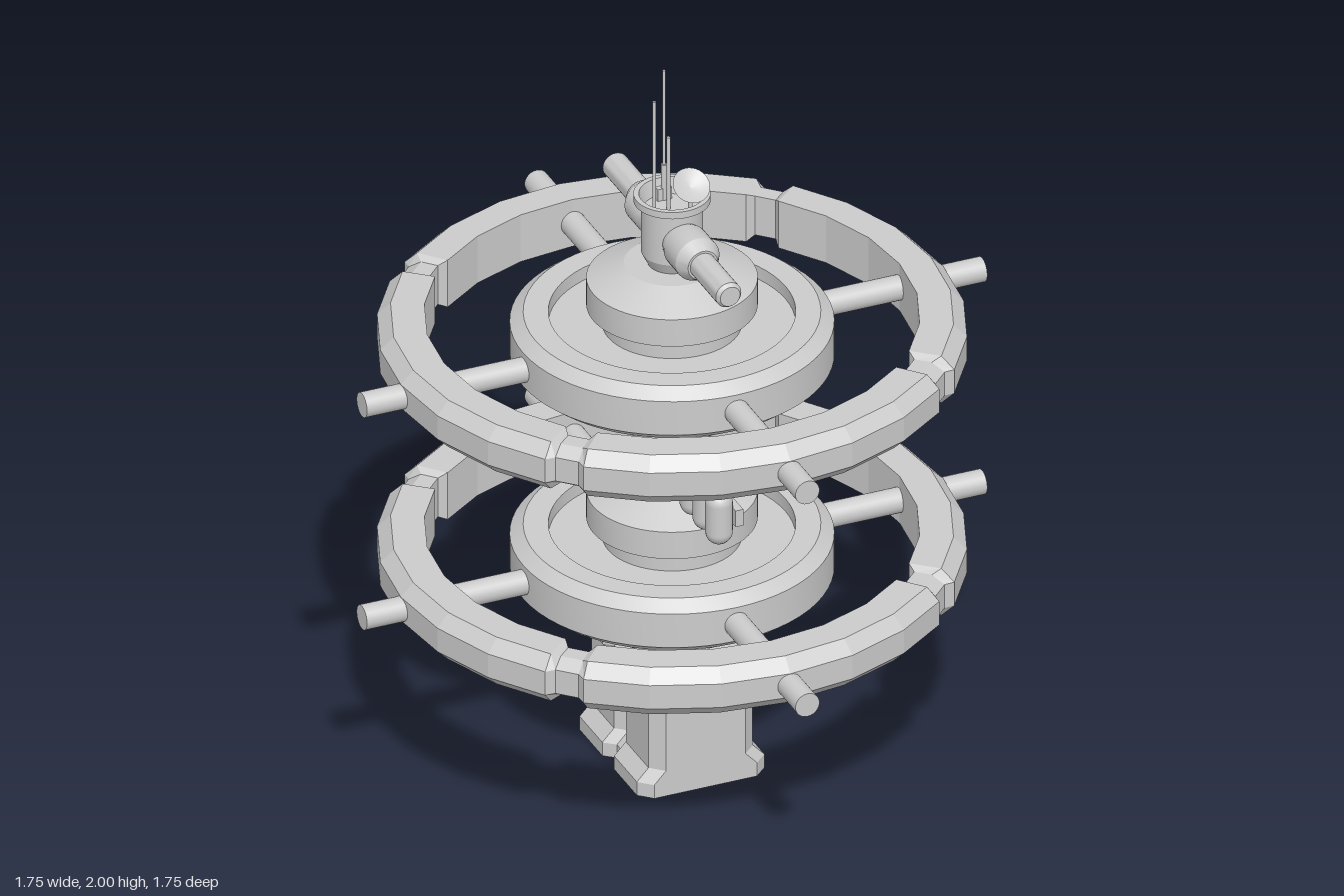
import * as THREE from 'three';
import { toCreasedNormals } from 'three/addons/utils/BufferGeometryUtils.js';

const grey = new THREE.MeshStandardMaterial({ color: 0xcccccc });
const flat = new THREE.MeshStandardMaterial({ color: 0xcccccc, flatShading: true });
const thin = new THREE.MeshStandardMaterial({ color: 0xcccccc, side: THREE.DoubleSide });
const RAD = Math.PI / 180;

function add(parent, name, geometry, x = 0, y = 0, z = 0, material = grey) {
  const mesh = new THREE.Mesh(geometry, material);
  mesh.name = name;
  mesh.position.set(x, y, z);
  parent.add(mesh);
  return mesh;
}

// Solid of revolution about y from [radius, height] pairs, with sharp edges kept
function turned(profile, segments = 48) {
  const points = profile.map(([r, y]) => new THREE.Vector2(r, y));
  return toCreasedNormals(new THREE.LatheGeometry(points, segments), 0.4);
}

// Skin joining equal cross-section loops of [x, y, z]
function loft(sections, closed) {
  const n = sections[0].length, index = [];
  const count = closed ? sections.length : sections.length - 1;
  for (let i = 0; i < count; i++) {
    const k = (i + 1) % sections.length;
    for (let j = 0; j < n; j++) {
      const m = (j + 1) % n;
      const a = i * n + j, b = i * n + m, c = k * n + m, d = k * n + j;
      index.push(a, b, c, a, c, d);
    }
  }
  const geometry = new THREE.BufferGeometry();
  geometry.setAttribute('position', new THREE.Float32BufferAttribute(sections.flat(2), 3));
  geometry.setIndex(index);
  const result = geometry.toNonIndexed();
  result.computeVertexNormals();
  return result;
}

// Faceted ring in four segments, pinched at the joints on the diagonals
function ringGeometry() {
  const sections = [];
  for (let q = 0; q < 4; q++) {
    for (const a of [-42.5, -41, -28, -14, 0, 14, 28, 41, 42.5, 47.5]) {
      const d = a === -42.5 || a >= 42 ? 0.02 : 0;
      if (a === 47.5) continue; // shared with the next segment's start
      const t = (q * 90 + a) * RAD, h = 0.07 - d * 0.6;
      const profile = [[0.642 + d, -h], [0.73 - d, -h], [0.765 - d, -0.035],
        [0.765 - d, 0.035], [0.73 - d, h], [0.642 + d, h]];
      sections.push(profile.map(([r, y]) => [r * Math.cos(t), y, r * Math.sin(t)]));
    }
  }
  return loft(sections, true);
}

// Outline of the base at half-width w: bevelled corners and a groove on each side
function baseOutline(w) {
  const side = [[w - 0.035, 0.218], [w, 0.185], [w, 0.038], [w - 0.03, 0.012],
    [w - 0.03, -0.012], [w, -0.038], [w, -0.185], [w - 0.035, -0.218]];
  return [...side, ...side.map(([x, z]) => [-x, -z])];
}

function addBase(parent) {
  const base = new THREE.Group();
  base.name = 'base';
  parent.add(base);
  const levels = [[0, 0.18], [0.04, 0.18], [0.075, 0.147], [0.3, 0.147], [0.335, 0.18], [0.37, 0.18]];
  const sections = levels.map(([y, w]) => baseOutline(w).map(([x, z]) => [x, y, z]));
  add(base, 'baseWalls', loft(sections, false), 0, 0, 0, flat);
  const cap = new THREE.ShapeGeometry(
    new THREE.Shape(baseOutline(0.18).map(([x, z]) => new THREE.Vector2(x, z))));
  add(base, 'baseBottom', cap.clone().rotateX(Math.PI / 2));
  add(base, 'baseTop', cap.clone().rotateX(-Math.PI / 2), 0, 0.37, 0);
}

// One habitat deck: hub drums, recessed disc, outer ring and spokes
function addDeck(parent, y) {
  const deck = new THREE.Group();
  deck.name = 'deck';
  deck.position.y = y;
  parent.add(deck);
  const half = [[0, -0.225], [0.125, -0.225], [0.222, -0.18], [0.222, -0.1], [0.18, -0.1],
    [0.18, -0.04], [0.32, -0.04], [0.32, -0.078], [0.385, -0.078], [0.42, -0.05]];
  const mirrored = half.map(([r, h]) => [r, -h]).reverse();
  add(deck, 'hubAndDisc', turned([...half, ...mirrored], 64));
  add(deck, 'outerRing', ringGeometry(), 0, 0, 0, flat);
  for (let i = 0; i < 4; i++) {
    const spoke = new THREE.CylinderGeometry(0.034, 0.034, 0.475, 24);
    spoke.rotateX(Math.PI / 2).translate(0, 0, 0.6375).rotateY(i * Math.PI / 2);
    add(deck, 'spoke', spoke);
  }
}

// Arm carrying three upright tanks
function addTankArm(parent, angle) {
  const arm = new THREE.Group();
  arm.name = 'tankArm';
  arm.position.y = 0.91;
  arm.rotation.y = angle * RAD;
  parent.add(arm);
  add(arm, 'armBeam', new THREE.BoxGeometry(0.022, 0.048, 0.34), 0.007, 0, 0.25);
  for (const z of [0.225, 0.308, 0.39]) {
    add(arm, 'tank', new THREE.CapsuleGeometry(0.036, 0.084, 8, 20), -0.038, 0, z);
  }
}

// Docking head with two ports, masts and a dish
function addHead(parent) {
  const head = new THREE.Group();
  head.name = 'head';
  parent.add(head);
  add(head, 'headDrum', turned([[0, 1.44], [0.055, 1.44], [0.08, 1.49], [0.08, 1.635],
    [0.1, 1.64], [0.1, 1.66], [0.086, 1.66], [0.075, 1.615], [0, 1.615]]));
  for (const s of [1, -1]) {
    const port = turned([[0, 0.05], [0.05, 0.05], [0.062, 0.09], [0.062, 0.165], [0.042, 0.2],
      [0.036, 0.2], [0.036, 0.365], [0.028, 0.376], [0, 0.376]], 32);
    add(head, 'dockingPort', port.rotateX(s * Math.PI / 2), 0, 1.55, 0);
  }
  // Masts: x, z, top, radius
  const masts = [[0, -0.052, 2, 0.004], [0, -0.052, 1.72, 0.008],
    [-0.05, 0, 1.945, 0.005], [-0.01, 0, 1.83, 0.005]];
  for (const [x, z, top, r] of masts) {
    add(head, 'mast', new THREE.CylinderGeometry(r, r, top - 1.61, 10), x, (top + 1.61) / 2, z);
  }
  add(head, 'mastFoot', new THREE.BoxGeometry(0.04, 0.04, 0.018), 0, 1.63, -0.055);
  add(head, 'dishPost', new THREE.CylinderGeometry(0.006, 0.006, 0.09, 10), 0.025, 1.655, 0.06);
  const dish = new THREE.LatheGeometry([[0, 0], [0.025, 0.004], [0.05, 0.014]]
    .map(([r, y]) => new THREE.Vector2(r, y)), 32);
  add(head, 'dish', dish, 0.025, 1.703, 0.06, thin).rotation.x = 38 * RAD;
}

export function createModel() {
  const model = new THREE.Group();
  model.name = 'station';
  addBase(model);
  addDeck(model, 0.595);
  addDeck(model, 1.23);
  // Hub between the decks
  add(model, 'middleHub', turned([[0, 0.81], [0.08, 0.81], [0.1, 0.85], [0.1, 0.98],
    [0.085, 1.01], [0, 1.01]]));
  addTankArm(model, 0);
  addTankArm(model, 145);
  addHead(model);
  return model;
}
